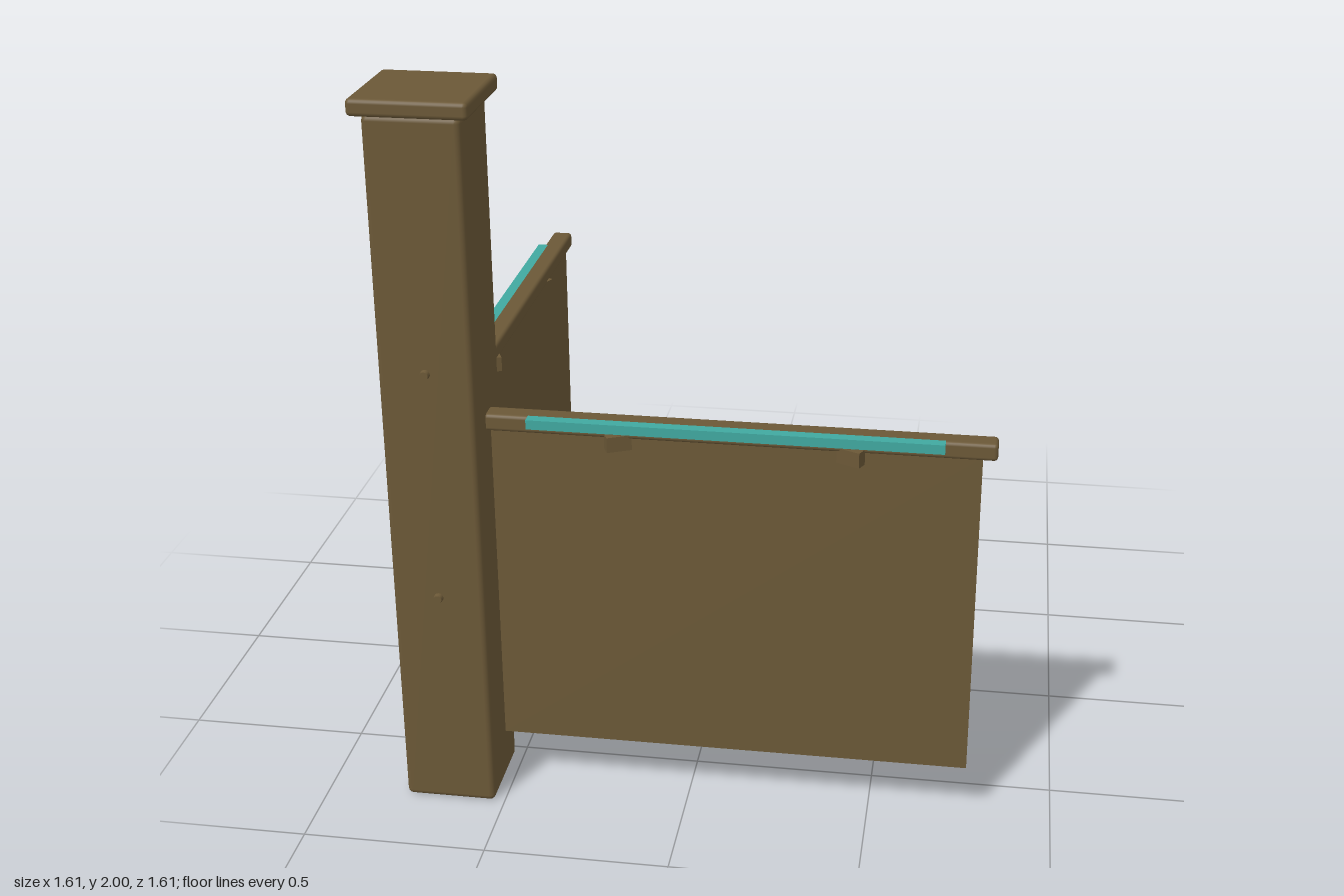
import * as THREE from 'three';
import { RoundedBoxGeometry } from 'three/addons/geometries/RoundedBoxGeometry.js';

const wood = new THREE.MeshStandardMaterial({ color: 0x6b5837 });
const teal = new THREE.MeshStandardMaterial({ color: 0x40a8a0 });

function add(parent, name, geometry, material, x, y, z) {
  const mesh = new THREE.Mesh(geometry, material);
  mesh.name = name;
  mesh.position.set(x, y, z);
  parent.add(mesh);
  return mesh;
}

// One wall running along x; out (+1 or -1) is the side of z that faces outwards.
function createWall(name, out) {
  const wall = new THREE.Group();
  wall.name = name;
  add(wall, 'panel', new THREE.BoxGeometry(1.28, 0.93, 0.042), wood, 0.125, 0.63, out * 0.652);
  add(wall, 'rail', new RoundedBoxGeometry(1.335, 0.047, 0.06, 2, 0.01), wood, 0.135, 1.1095, out * 0.648);
  add(wall, 'lightStrip', new THREE.BoxGeometry(1.085, 0.026, 0.03), teal, 0.127, 1.12, out * 0.683);
  // Slanted clips that pass through the panel just under the rail
  for (const side of [-1, 1]) {
    const clip = add(wall, 'clip', new THREE.BoxGeometry(0.164, 0.042, 0.03), wood,
      0.126 + side * 0.259, 1.076, out * 0.653);
    clip.rotation.y = -side * THREE.MathUtils.degToRad(25);
  }
  return wall;
}

export function createModel() {
  const model = new THREE.Group();
  model.name = 'cornerPostWithWalls';

  // Post with its cap
  add(model, 'post', new RoundedBoxGeometry(0.25, 1.955, 0.25, 2, 0.016), wood, -0.652, 0.9775, 0.652);
  add(model, 'postCap', new RoundedBoxGeometry(0.304, 0.045, 0.304, 2, 0.012), wood, -0.652, 1.9775, 0.652);

  // Screw heads on the front of the post
  for (const y of [0.635, 1.28]) {
    const screw = add(model, 'screwHead', new THREE.CylinderGeometry(0.011, 0.015, 0.024, 16), wood, -0.652, y, 0.778);
    screw.rotation.x = Math.PI / 2;
  }

  // Front wall, and the side wall turned a quarter to run backwards
  model.add(createWall('frontWall', 1));
  const sideWall = createWall('sideWall', -1);
  sideWall.rotation.y = Math.PI / 2;
  model.add(sideWall);
  return model;
}
